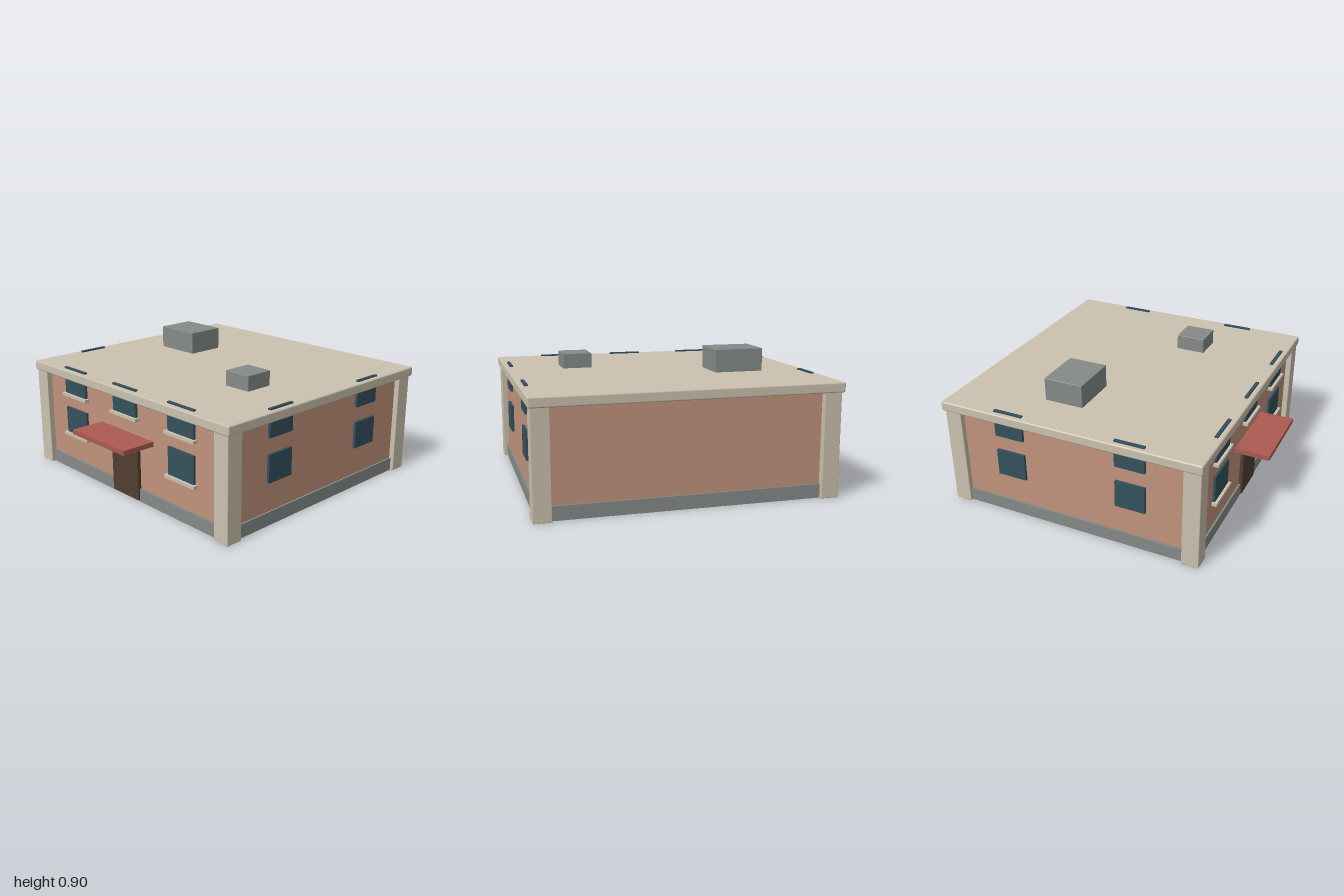
import * as THREE from 'three';
import { RoundedBoxGeometry } from 'three/addons/geometries/RoundedBoxGeometry.js';

const material = (name, color) => {
  const m = new THREE.MeshStandardMaterial({ color });
  m.name = name;
  return m;
};

export function createModel() {
  const building = new THREE.Group();
  building.name = 'building';

  const brick = material('terracotta wall', 0xc2947d);
  const trim = material('beige trim', 0xcbc1af);
  const grey = material('grey concrete', 0x858b89);
  const glass = material('dark blue glass', 0x34515d);
  const wood = material('brown door', 0x503f2f);
  const red = material('red canopy', 0xac5a52);

  // Box given by its extents on each axis, with an optional small bevel
  function box(name, mat, [x0, x1], [y0, y1], [z0, z1], bevel = 0) {
    const size = [x1 - x0, y1 - y0, z1 - z0];
    const geometry = bevel
      ? new RoundedBoxGeometry(...size, 1, bevel)
      : new THREE.BoxGeometry(...size);
    const mesh = new THREE.Mesh(geometry, mat);
    mesh.name = name;
    mesh.position.set((x0 + x1) / 2, (y0 + y1) / 2, (z0 + z1) / 2);
    building.add(mesh);
  }
  const around = (c, width) => [c - width / 2, c + width / 2];

  // Main body
  box('walls', brick, [-0.94, 0.94], [0.003, 0.7], [-0.94, 0.765]);
  box('plinth', grey, [-0.952, 0.952], [0, 0.09], [-0.952, 0.777]);
  box('roofSlab', trim, [-0.99, 0.99], [0.685, 0.75], [-1, 0.815], 0.01);

  // Corner pillars
  for (const x of [-0.918, 0.918]) {
    for (const z of [-0.922, 0.747]) {
      box('cornerPillar', trim, around(x, 0.116), [0, 0.69], around(z, 0.116), 0.005);
    }
  }

  // Windows: the upper row rises just through the roof slab
  const rows = [[0.285, 0.47], [0.575, 0.76]];
  rows.forEach(([y0, y1], row) => {
    for (const x of row ? [-0.545, 0, 0.545] : [-0.545, 0.545]) {
      box('frontWindow', glass, around(x, 0.236), [y0, y1], [0.759, 0.781]);
      box('windowSill', trim, around(x, 0.27), [y0 - 0.02, y0], [0.755, 0.8]);
    }
    for (const x of [-0.947, 0.947]) {
      for (const z of [-0.515, 0.335]) {
        box('sideWindow', glass, around(x, 0.022), [y0, y1], around(z, 0.204));
      }
    }
  });

  // Entrance
  box('door', wood, [-0.135, 0.135], [0.01, 0.402], [0.75, 0.79], 0.005);
  box('entranceCanopy', red, [-0.27, 0.27], [0.42, 0.452], [0.76, 1]);

  // Rooftop units
  box('largeRoofUnit', grey, [-0.68, -0.345], [0.745, 0.905], [-0.4, -0.13], 0.004);
  box('smallRoofUnit', grey, [0.408, 0.608], [0.745, 0.852], [0.062, 0.265], 0.004);

  return building;
}
